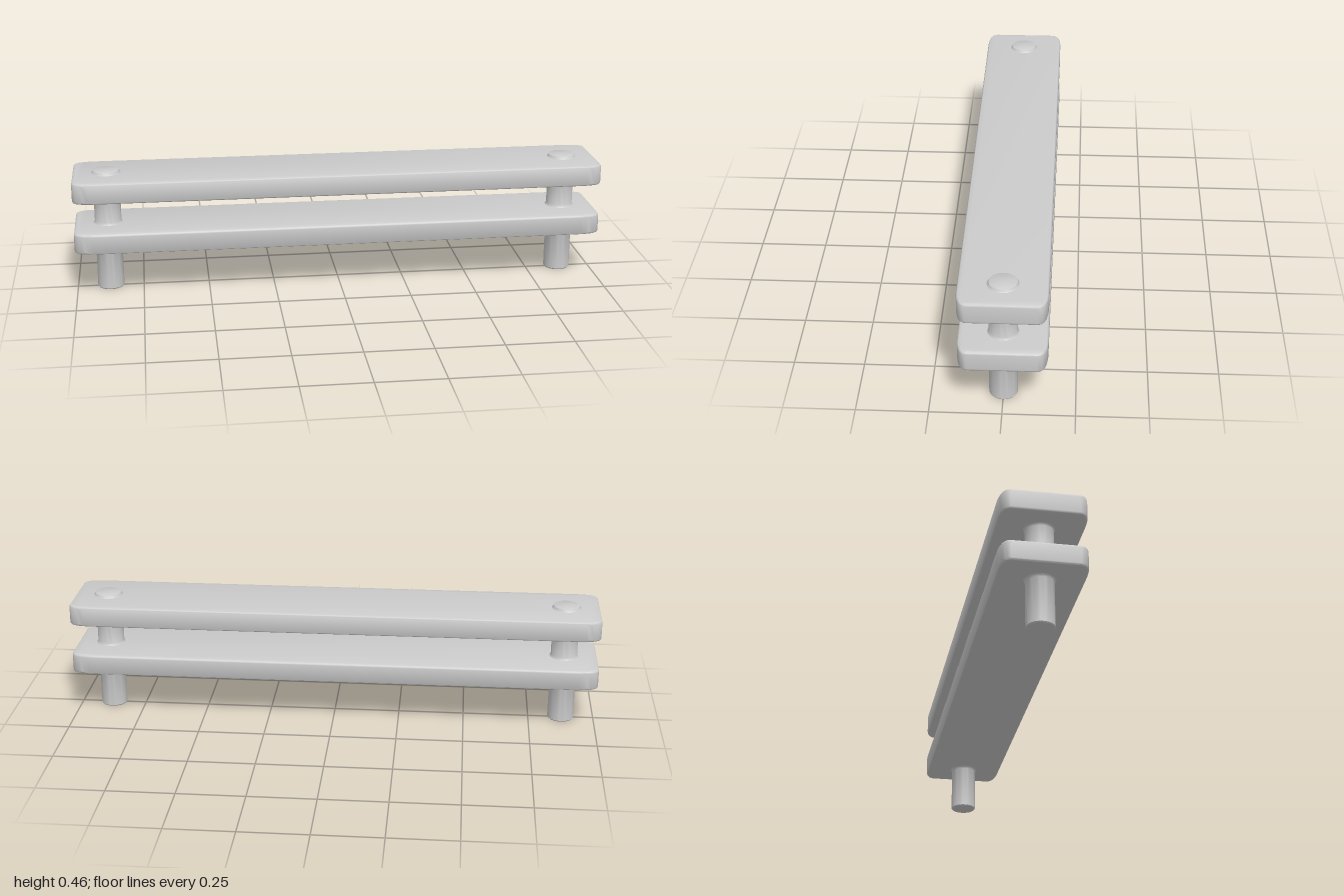
import * as THREE from 'three';
import { toCreasedNormals } from 'three/addons/utils/BufferGeometryUtils.js';

const material = new THREE.MeshStandardMaterial({ color: 0xcccccc });

// Board outline with long, shallow rounded corners
function boardShape(hx, hz, cx, cz) {
  const s = new THREE.Shape();
  s.moveTo(-hx + cx, -hz);
  s.lineTo(hx - cx, -hz);
  s.quadraticCurveTo(hx, -hz, hx, -hz + cz);
  s.lineTo(hx, hz - cz);
  s.quadraticCurveTo(hx, hz, hx - cx, hz);
  s.lineTo(-hx + cx, hz);
  s.quadraticCurveTo(-hx, hz, -hx, hz - cz);
  s.lineTo(-hx, -hz + cz);
  s.quadraticCurveTo(-hx, -hz, -hx + cx, -hz);
  return s;
}

// Horizontal board with softened edges, from y0 to y1
function board(name, y0, y1) {
  const b = 0.01;
  let geo = new THREE.ExtrudeGeometry(boardShape(1 - b, 0.154 - b, 0.085, 0.026), {
    depth: y1 - y0 - 2 * b, bevelThickness: b, bevelSize: b, bevelSegments: 4, curveSegments: 8,
  });
  geo.rotateX(-Math.PI / 2);
  geo.translate(0, y0 + b, 0);
  geo = toCreasedNormals(geo, 0.6);
  const mesh = new THREE.Mesh(geo, material);
  mesh.name = name;
  return mesh;
}

// Round post running through both boards, with small flares where they meet
function post(name, x) {
  const r = 0.05;
  const profile = [
    [0, 0], [r - 0.003, 0], [r, 0.004],
    [r, 0.171], [0.052, 0.175], [0.056, 0.179],
    [0.056, 0.257], [0.052, 0.261], [r, 0.266],
    [r, 0.366], [0.052, 0.371], [0.056, 0.375],
    [0.056, 0.452], [0.052, 0.456], [0.049, 0.462], [0.047, 0.463], [0, 0.463],
  ].map(([a, y]) => new THREE.Vector2(a, y));
  const geo = toCreasedNormals(new THREE.LatheGeometry(profile, 32), 0.5);
  const mesh = new THREE.Mesh(geo, material);
  mesh.name = name;
  mesh.position.x = x;
  return mesh;
}

export function createModel() {
  const group = new THREE.Group();
  group.name = 'doubleBoardRail';
  group.add(
    board('lowerBoard', 0.179, 0.258),
    board('upperBoard', 0.374, 0.453),
    post('leftPost', 0.875),
    post('rightPost', -0.875),
  );
  return group;
}
